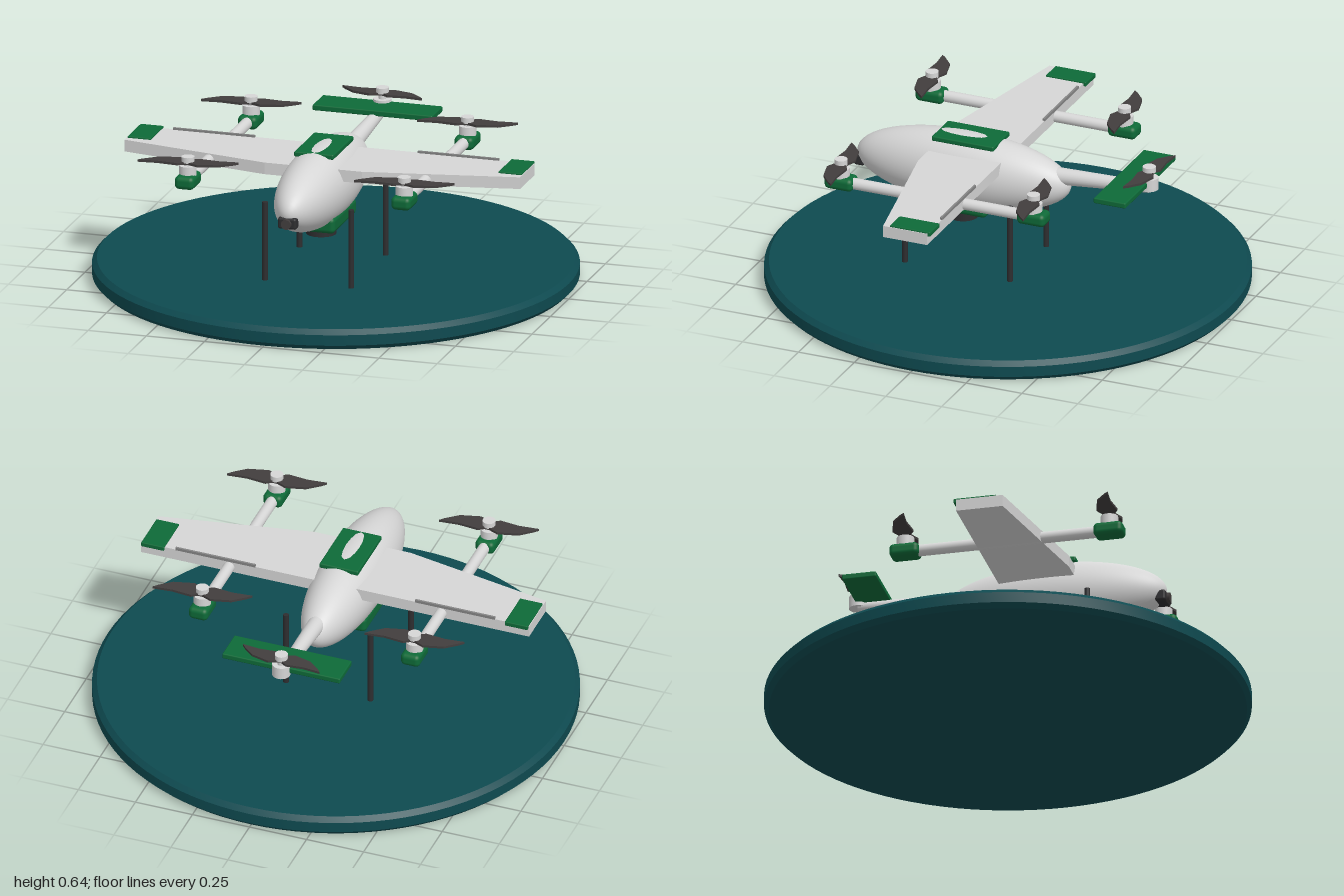
import * as THREE from 'three';
import { RoundedBoxGeometry } from 'three/addons/geometries/RoundedBoxGeometry.js';
import { toCreasedNormals } from 'three/addons/utils/BufferGeometryUtils.js';

const material = (name, color) => {
  const m = new THREE.MeshStandardMaterial({ color });
  m.name = name;
  return m;
};

export function createModel() {
  const shell = material('light grey shell', 0xd6d6d6);
  const green = material('green trim', 0x0e6a38);
  const dark = material('dark metal', 0x2e2e30);
  const blade = material('blade grey', 0x423e3e);
  const seam = material('seam grey', 0x858585);
  const teal = material('teal stand', 0x0e4a50);
  const model = new THREE.Group();
  model.name = 'droneOnStand';

  const add = (name, geometry, mat, x = 0, y = 0, z = 0, parent = model) => {
    const mesh = new THREE.Mesh(geometry, mat);
    mesh.name = name;
    mesh.position.set(x, y, z);
    parent.add(mesh);
    return mesh;
  };
  const cyl = (r, h, sides = 24, r2 = r) => new THREE.CylinderGeometry(r, r2, h, sides);
  const box = (w, h, d, r) => new RoundedBoxGeometry(w, h, d, 3, r);

  // Flat plate from (x, z) points, with its top face at y = 0
  const plate = (points, depth) => {
    const shape = new THREE.Shape(points.map(([x, z]) => new THREE.Vector2(x, z)));
    const g = new THREE.ExtrudeGeometry(shape, { depth, bevelEnabled: false });
    return g.rotateX(Math.PI / 2);
  };

  // Round stand with bevelled rims
  const rim = [[0, 0], [0.98, 0], [1, 0.02], [1, 0.065], [0.98, 0.085], [0, 0.085]];
  const stand = new THREE.LatheGeometry(rim.map(([r, y]) => new THREE.Vector2(r, y)), 96);
  add('stand', toCreasedNormals(stand, 0.5), teal);

  // Support rods
  for (const x of [-0.185, 0.185]) {
    for (const z of [-0.09, 0.38]) add('supportRod', cyl(0.012, 0.34, 12), dark, x, 0.25, z);
  }

  // Fuselage
  const body = new THREE.SphereGeometry(1, 48, 32).rotateX(Math.PI / 2);
  add('fuselage', body.scale(0.14, 0.161, 0.475), shell, 0, 0.466, 0.195);
  add('topHatch', box(0.17, 0.022, 0.277, 0.006), green, 0, 0.612, 0.167);
  add('bellyPack', box(0.216, 0.07, 0.315, 0.02), green, 0, 0.336, 0.212);
  add('sensorNeck', cyl(0.028, 0.03), dark, 0, 0.292, 0.2);
  add('bellySensor', cyl(0.063, 0.036, 32), dark, 0, 0.268, 0.2);

  // Nose camera
  add('noseCamera', box(0.08, 0.048, 0.045, 0.01), dark, 0, 0.43, 0.651);
  add('noseLens', cyl(0.021, 0.02, 20).rotateX(Math.PI / 2), blade, 0, 0.43, 0.676);

  // Wing with straight trailing edge and swept leading edge
  const wing = [[-0.85, -0.01], [0.85, -0.01], [0.85, 0.187], [0.21, 0.31], [-0.21, 0.31], [-0.85, 0.187]];
  add('wing', plate(wing, 0.05), shell, 0, 0.565, 0);
  for (const s of [-1, 1]) {
    add('wingTipPad', box(0.1, 0.02, 0.18, 0.004), green, s * 0.797, 0.562, 0.068);
    add('flapSeam', new THREE.BoxGeometry(0.35, 0.012, 0.009), seam, s * 0.525, 0.568, -0.006);
  }

  // Tapered tail boom and tailplane
  const from = new THREE.Vector3(0, 0.505, -0.2);
  const to = new THREE.Vector3(0, 0.53, -0.63);
  const run = to.clone().sub(from);
  const boom = add('tailBoom', cyl(0.023, run.length(), 24, 0.037), shell);
  boom.position.copy(from).add(to).multiplyScalar(0.5);
  boom.quaternion.setFromUnitVectors(new THREE.Vector3(0, 1, 0), run.normalize());
  add('tailplane', box(0.515, 0.024, 0.143, 0.005), green, 0, 0.554, -0.566);

  // Two swept blades, the second turned half way round
  const half = [[0.01, -0.025], [0.035, -0.042], [0.12, -0.034], [0.203, -0.042], [0.185, -0.022],
    [0.135, 0.02], [0.05, 0.042], [0.01, 0.025]];
  const outline = [...half, ...half.map(([x, z]) => [-x, -z])];
  const propeller = (x, y, z, size, flipped) => {
    const rotor = new THREE.Group();
    rotor.name = 'rotor';
    rotor.position.set(x, y, z);
    const blades = add('blades', plate(outline, 0.01), blade, 0, flipped ? -0.005 : 0.005, 0, rotor);
    blades.scale.set(size, 1, size);
    if (flipped) blades.rotation.x = Math.PI;
    add('hub', cyl(0.027, 0.024), shell, 0, 0.013, 0, rotor);
    add('shaft', cyl(0.016, 0.05, 16), shell, 0, -0.015, 0, rotor);
    model.add(rotor);
  };

  // Side booms carrying the four lifting rotors
  for (const x of [-0.465, 0.465]) {
    add('sideBoom', cyl(0.024, 0.86).rotateX(Math.PI / 2), shell, x, 0.537, 0.112);
    for (const z of [0.543, -0.318]) {
      add('motorPod', box(0.084, 0.056, 0.125, 0.02), green, x, 0.537, z);
      add('motor', cyl(0.036, 0.04), shell, x, 0.58, z);
      propeller(x, 0.613, z, 1, false);
    }
  }

  // Tail rotor
  add('tailMotor', cyl(0.038, 0.052), shell, 0, 0.551, -0.632);
  propeller(0, 0.6, -0.632, 0.9, true);

  return model;
}
